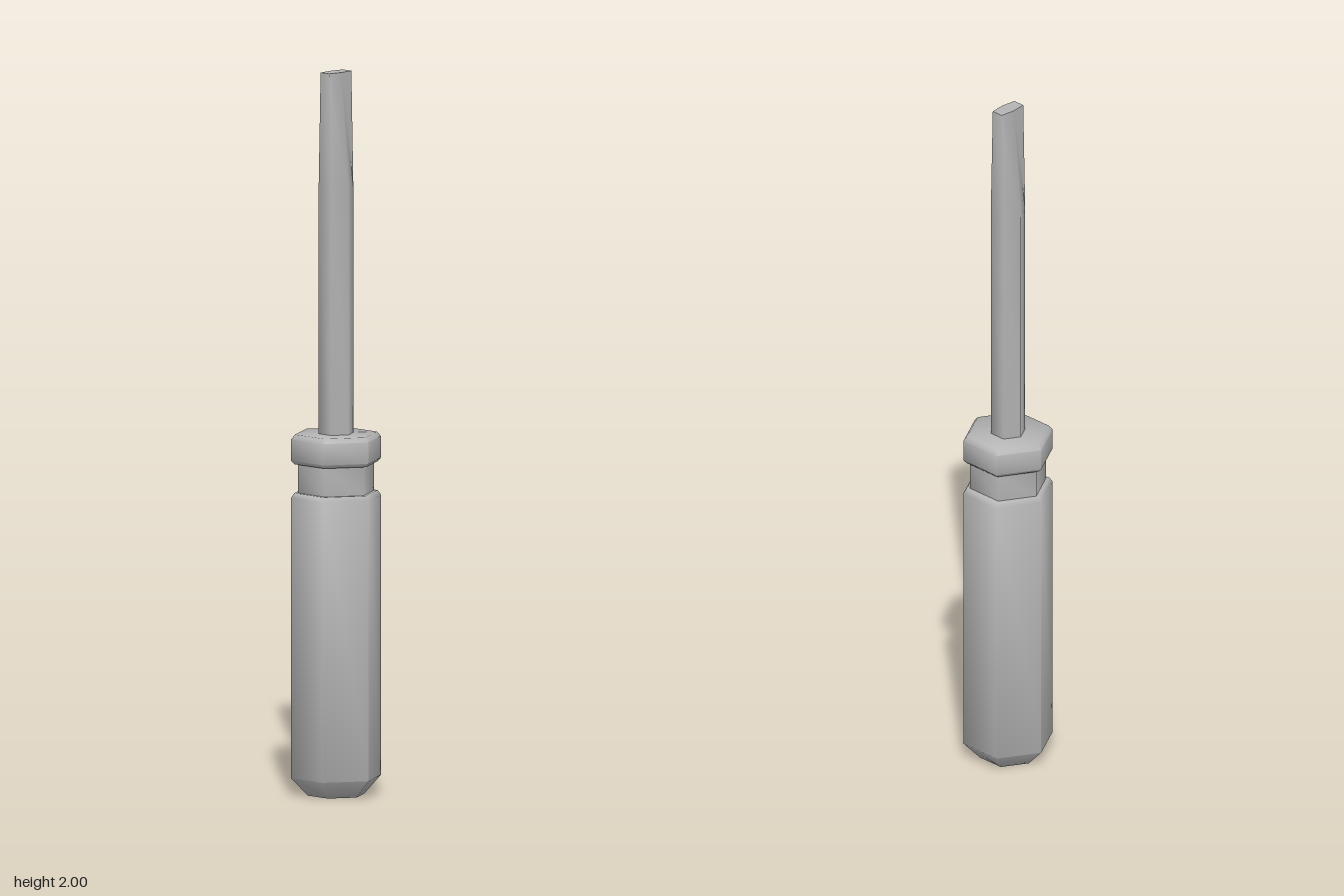
import * as THREE from 'three';
import { toCreasedNormals } from 'three/addons/utils/BufferGeometryUtils.js';

// Six-sided turned solid, corners on the z axis; steps stay sharp, sides shade smoothly
function hexSolid(profile, reshape) {
  const geometry = new THREE.LatheGeometry(profile.map(([r, y]) => new THREE.Vector2(r, y)), 6);
  if (reshape) reshape(geometry.attributes.position);
  return toCreasedNormals(geometry, THREE.MathUtils.degToRad(65));
}

export function createModel() {
  const model = new THREE.Group();
  model.name = 'screwdriver';
  const grey = new THREE.MeshStandardMaterial({ color: 0xb4b4b4 });
  grey.name = 'grey';

  const add = (name, geometry) => {
    const mesh = new THREE.Mesh(geometry, grey);
    mesh.name = name;
    model.add(mesh);
  };

  // Grip with chamfered butt, narrow neck and collar
  add('handle', hexSolid([
    [0, 0], [0.08, 0], [0.127, 0.05],
    [0.127, 0.825], [0.118, 0.838], [0.108, 0.838],
    [0.108, 0.918], [0.118, 0.918], [0.127, 0.928],
    [0.127, 0.987], [0.116, 1], [0, 1],
  ]));

  // Shaft, flattened front to back towards the flat tip
  add('shaft', hexSolid([[0.049, 0.99], [0.049, 1.68], [0.049, 2], [0, 2]], (p) => {
    for (let i = 0; i < p.count; i++) {
      if (p.getY(i) < 1.99) continue;
      const z = p.getZ(i);
      p.setZ(i, Math.sign(z) * Math.min(Math.abs(z) * 0.69, 0.022));
    }
  }));

  return model;
}
